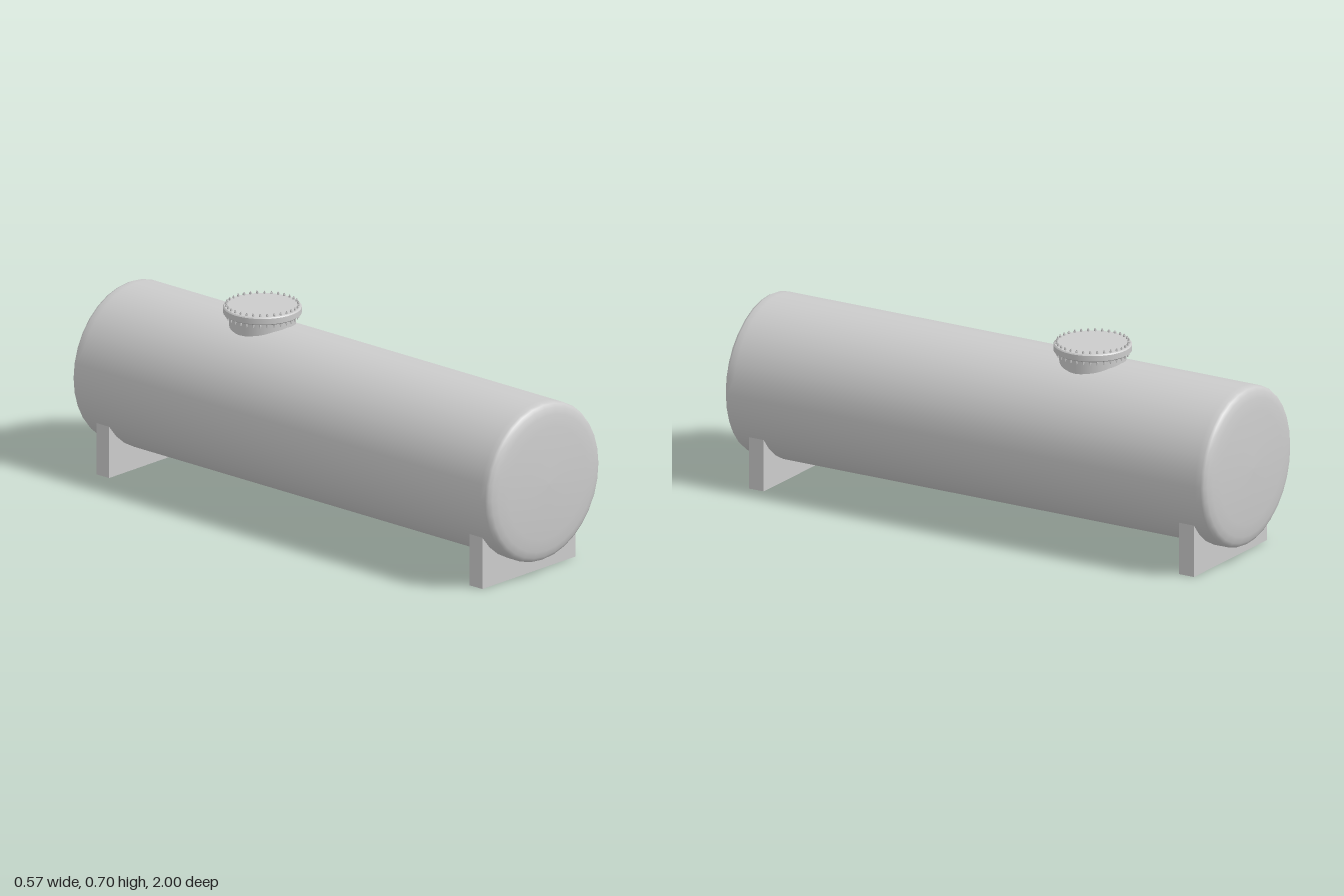
import * as THREE from 'three';
import { toCreasedNormals } from 'three/addons/utils/BufferGeometryUtils.js';

const RADIUS = 0.285, AXIS_Y = 0.345, SIDES = 32;
const HATCH_Z = -0.345, BOLTS = 32, BOLT_RING = 0.125;

export function createModel() {
  const model = new THREE.Group();
  const grey = new THREE.MeshStandardMaterial({ color: 0xcccccc });

  const add = (parent, name, geometry, x = 0, y = 0, z = 0) => {
    const mesh = new THREE.Mesh(geometry, grey);
    mesh.name = name;
    mesh.position.set(x, y, z);
    parent.add(mesh);
    return mesh;
  };
  const lathe = (points, sides) =>
    new THREE.LatheGeometry(points.map(([r, y]) => new THREE.Vector2(r, y)), sides);

  // Tank: one smooth shell lying along z, with shallow dished ends
  const dish = [[0, 1], [0.1, 0.998], [0.2, 0.992], [0.245, 0.987], [0.268, 0.98],
    [0.28, 0.972], [RADIUS, 0.962], [RADIUS, 0.94]];
  const profile = [
    ...dish.map(([r, z]) => [r, -z]),
    ...dish.slice().reverse(),
  ];
  add(model, 'tank', lathe(profile, SIDES).rotateX(Math.PI / 2), 0, AXIS_Y, 0);

  // Saddles: thick plates whose top edge follows the tank's underside
  const halfWidth = RADIUS * Math.sin(5 * 2 * Math.PI / SIDES);
  const outline = new THREE.Shape();
  outline.moveTo(-halfWidth, 0);
  outline.lineTo(halfWidth, 0);
  for (let k = 5; k >= -5; k--) {
    const a = k * 2 * Math.PI / SIDES;
    outline.lineTo(RADIUS * Math.sin(a), AXIS_Y - RADIUS * Math.cos(a));
  }
  outline.closePath();
  const saddle = new THREE.ExtrudeGeometry(outline, { depth: 0.06, bevelEnabled: false });
  saddle.translate(0, 0, -0.03);
  add(model, 'frontSaddle', saddle, 0, 0, 0.875);
  add(model, 'rearSaddle', saddle, 0, 0, -0.875);

  // Manhole: neck, flanged cover and ring of bolts
  const manhole = new THREE.Group();
  manhole.name = 'manhole';
  manhole.position.z = HATCH_Z;
  model.add(manhole);
  add(manhole, 'neck', new THREE.CylinderGeometry(0.116, 0.116, 0.08, SIDES), 0, 0.62, 0);
  const cover = lathe([[0, 0.657], [0.131, 0.657], [0.136, 0.661], [0.136, 0.681],
    [0.132, 0.685], [0, 0.685]], 48);
  add(manhole, 'cover', toCreasedNormals(cover, 0.6));

  // Each bolt: a stud through the flange with a nut above and below
  const stud = new THREE.CylinderGeometry(0.0025, 0.0025, 0.052, 6);
  const nut = toCreasedNormals(new THREE.CylinderGeometry(0.0045, 0.0045, 0.006, 6), 0.5);
  for (let i = 0; i < BOLTS; i++) {
    const a = (i + 0.5) * 2 * Math.PI / BOLTS;
    const bolt = new THREE.Group();
    bolt.name = 'bolt';
    bolt.position.set(BOLT_RING * Math.sin(a), 0.67, BOLT_RING * Math.cos(a));
    bolt.rotation.y = a;
    add(bolt, 'stud', stud);
    add(bolt, 'upperNut', nut, 0, 0.019, 0);
    add(bolt, 'lowerNut', nut, 0, -0.017, 0);
    manhole.add(bolt);
  }
  return model;
}
